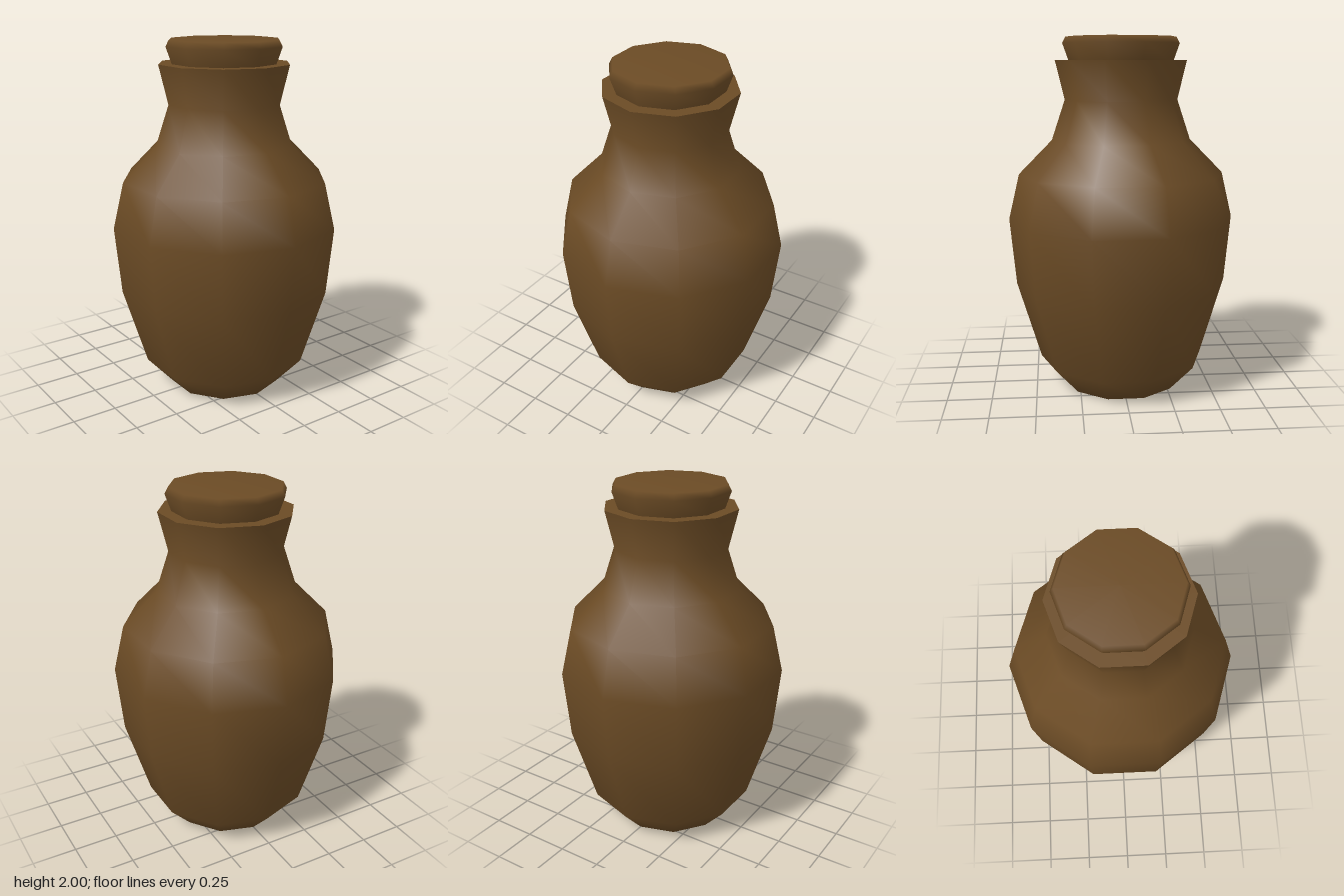
import * as THREE from 'three';

const SIDES = 10;

// Smooth ten-sided turned part from [radius, height] pairs, listed bottom to top
function turned(name, profile, material) {
  const points = profile.map(([r, y]) => new THREE.Vector2(r, y));
  const mesh = new THREE.Mesh(new THREE.LatheGeometry(points, SIDES), material);
  mesh.name = name;
  return mesh;
}

export function createModel() {
  const clay = new THREE.MeshStandardMaterial({ color: 0x6b4b25 });
  clay.name = 'brown clay';

  const jar = new THREE.Group();
  jar.name = 'lidded jar';

  // Closed base, belly, shoulder and flared neck
  jar.add(turned('body', [
    [0, 0], [0.328, 0], [0.472, 0.155], [0.607, 0.6], [0.643, 0.98],
    [0.582, 1.238], [0.393, 1.43], [0.318, 1.655], [0.37, 1.872],
  ], clay));

  // Flat lip with a sharp outer edge
  jar.add(turned('rim', [[0.37, 1.872], [0.26, 1.872]], clay));

  // Stopper seated in the mouth
  jar.add(turned('lid', [
    [0.285, 1.85], [0.295, 1.872], [0.328, 1.965], [0.31, 2], [0, 2],
  ], clay));

  return jar;
}
